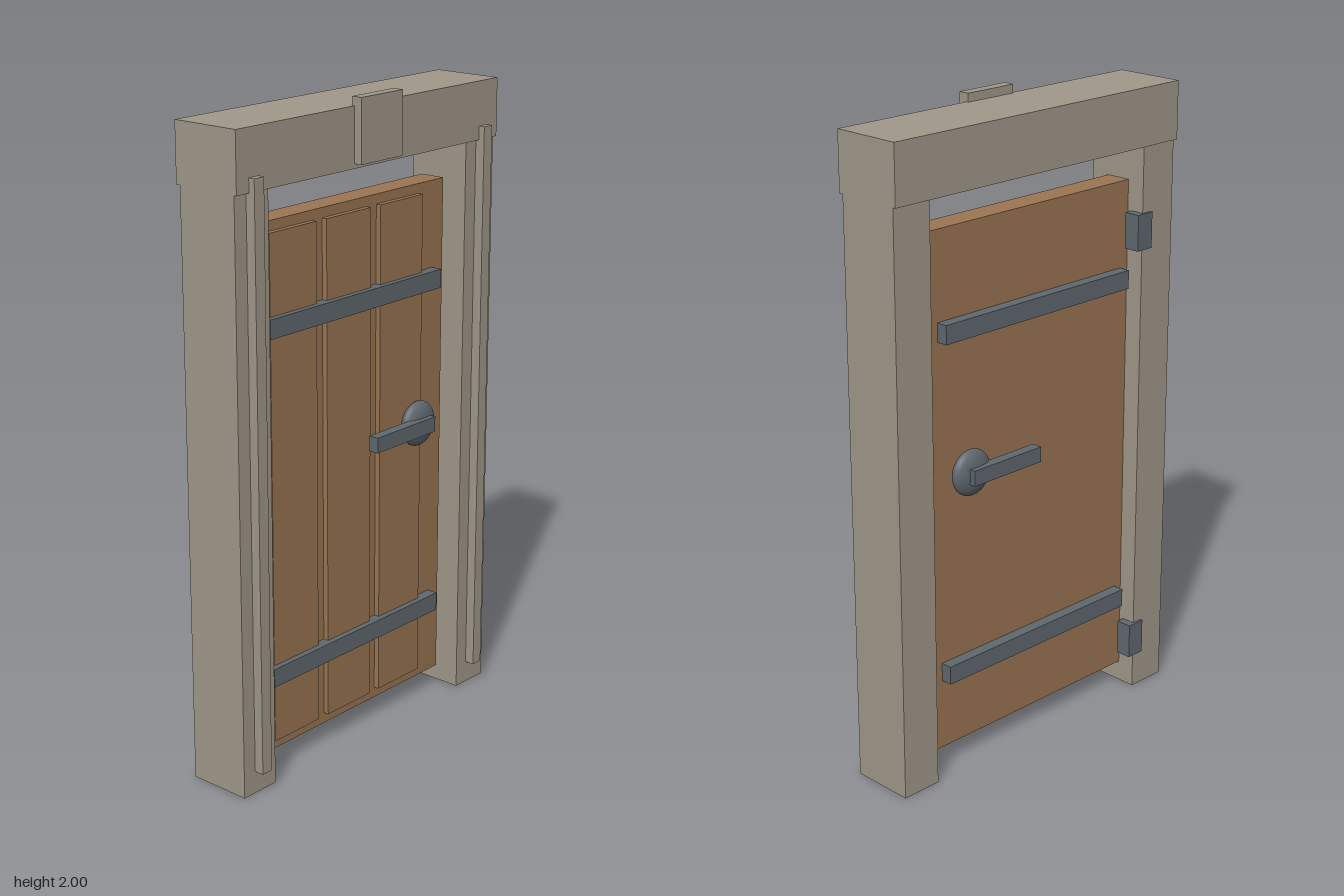
import * as THREE from 'three';

export function createModel() {
  const model = new THREE.Group();
  model.name = 'door';

  const material = (name, color) => {
    const m = new THREE.MeshStandardMaterial({ color });
    m.name = name;
    return m;
  };
  const stone = material('stone', 0xa0988a);
  const wood = material('wood', 0x9a7553);
  const iron = material('iron', 0x5f686e);

  // Box given by its limits along each axis
  const box = (name, mat, [x0, x1], [y0, y1], [z0, z1], parent = model) => {
    const mesh = new THREE.Mesh(new THREE.BoxGeometry(x1 - x0, y1 - y0, z1 - z0), mat);
    mesh.position.set((x0 + x1) / 2, (y0 + y1) / 2, (z0 + z1) / 2);
    mesh.name = name;
    parent.add(mesh);
    return mesh;
  };

  // Stone frame: jambs with trim strips, lintel and keystone
  const frame = new THREE.Group();
  frame.name = 'frame';
  model.add(frame);
  for (const [side, s] of [['left', 1], ['right', -1]]) {
    const span = (a, b) => (s > 0 ? [a, b] : [-b, -a]);
    box(side + 'Jamb', stone, span(0.432, 0.564), [0, 1.797], [-0.114, 0.09], frame);
    box(side + 'Trim', stone, span(0.48, 0.518), [0.07, 1.838], [0.08, 0.121], frame);
  }
  box('lintel', stone, [-0.566, 0.566], [1.796, 1.974], [-0.126, 0.101], frame);
  box('keystone', stone, [-0.09, 0.09], [1.81, 2], [0.092, 0.127], frame);

  // Wooden leaf with raised planks on the front
  const midZ = -0.0135;
  const half = 0.041;
  box('leaf', wood, [-0.436, 0.403], [0.066, 1.684], [midZ - half, midZ + half]);
  for (let i = 0; i < 3; i++) {
    const x = -0.285 + i * 0.237;
    box('plank', wood, [x - 0.097, x + 0.097], [0.1, 1.654], [midZ, midZ + half + 0.017]);
  }

  // Iron straps and handles on both faces
  for (const [face, s] of [['front', 1], ['back', -1]]) {
    const depth = (a, b) => [a, b].map((d) => midZ + s * d).sort((p, q) => p - q);
    for (const y of [0.319, 1.385]) {
      box(face + 'Strap', iron, [-0.402, 0.355], [y - 0.029, y + 0.029], depth(half - 0.005, half + 0.036));
    }
    const handle = new THREE.Group();
    handle.name = face + 'Handle';
    model.add(handle);
    const rose = new THREE.Mesh(new THREE.SphereGeometry(0.0715, 32, 20), iron);
    rose.name = 'rose';
    rose.scale.z = 0.42;
    rose.position.set(0.258, 0.944, midZ + s * (half + 0.03));
    handle.add(rose);
    box('lever', iron, [0.015, 0.287], [0.92, 0.968], depth(0.083, 0.1165), handle);
  }

  // Hinge blocks on the back
  for (const y of [0.171, 1.534]) {
    box('hinge', iron, [-0.467, -0.405], [y - 0.056, y + 0.056], [-0.122, -0.07]);
  }

  return model;
}
